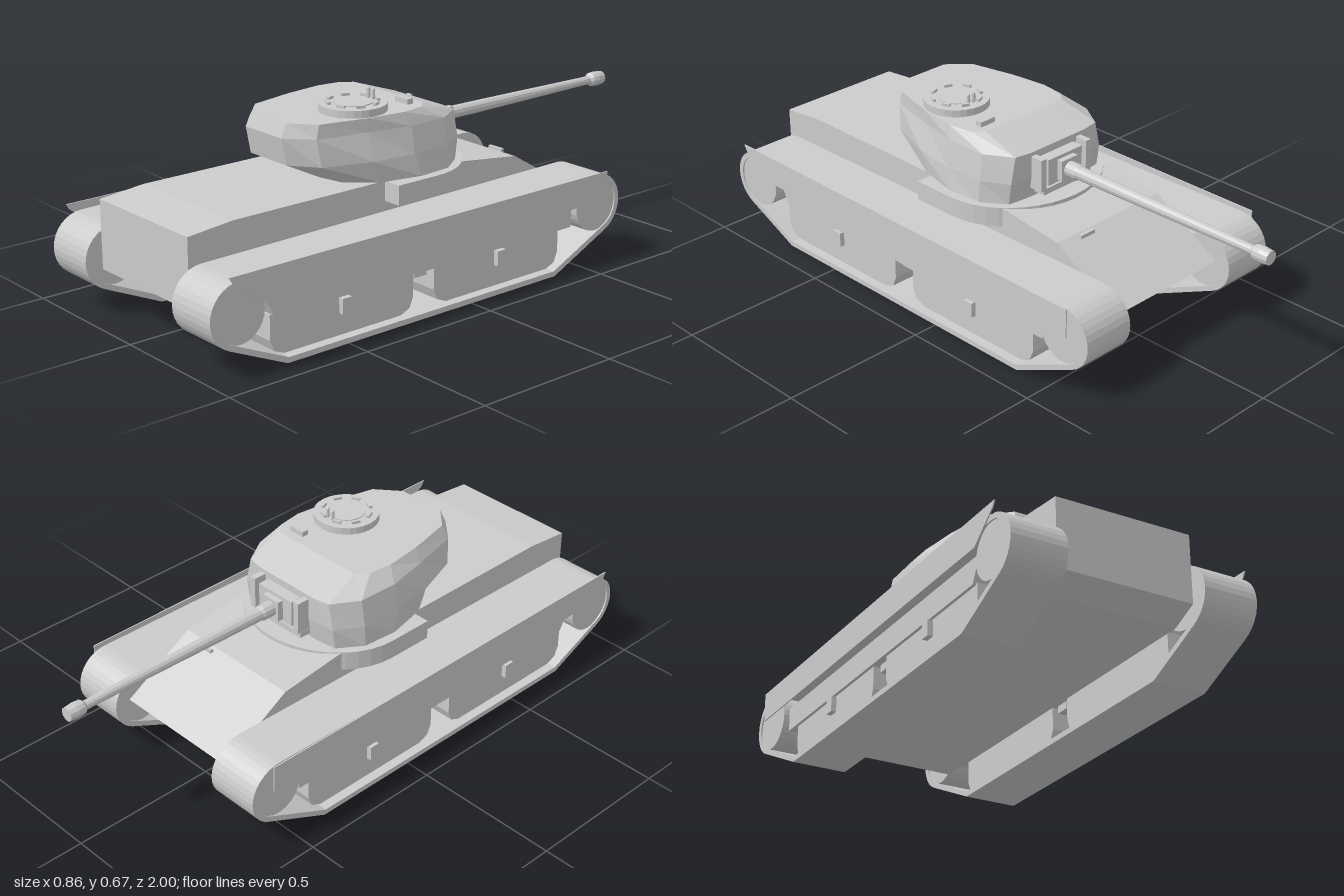
import * as THREE from 'three';

const mat = new THREE.MeshStandardMaterial({ color: 0xcccccc, flatShading: true, side: THREE.DoubleSide });
const smooth = new THREE.MeshStandardMaterial({ color: 0xcccccc });

export function createModel() {
  const model = new THREE.Group();
  const add = (name, geo, x = 0, y = 0, z = 0, material = mat) => {
    const m = new THREE.Mesh(geo, material);
    m.name = name;
    m.position.set(x, y, z);
    model.add(m);
    return m;
  };
  const box = (name, w, h, d, x, y, z) => add(name, new THREE.BoxGeometry(w, h, d), x, y, z);

  // Side profiles are [z, y] pairs, extruded across x
  const toShape = (pts) => new THREE.Shape(pts.map(([z, y]) => new THREE.Vector2(-z, y)));
  const slab = (name, pts, xa, xb, hole) => {
    const shape = toShape(pts);
    if (hole) shape.holes.push(toShape(hole));
    const geo = new THREE.ExtrudeGeometry(shape, { depth: Math.abs(xb - xa), bevelEnabled: false });
    geo.rotateY(Math.PI / 2);
    return add(name, geo, Math.min(xa, xb));
  };

  // Hull
  slab('hull', [[0.94, 0.16], [0.94, 0.385], [0.78, 0.4], [-0.11, 0.4], [-0.36, 0.37],
    [-0.61, 0.22], [-0.49, 0.12], [0.85, 0.12]], -0.23, 0.23);
  box('driverPeriscope', 0.06, 0.012, 0.012, 0.12, 0.367, -0.38);

  // Turret ring shelf: rounded front, straight back
  const ring = new THREE.Shape();
  ring.moveTo(0.295, -0.2);
  for (let i = 0; i <= 20; i++) {
    const a = Math.PI * i / 20;
    ring.lineTo(0.295 * Math.cos(a), -0.04 + 0.26 * Math.sin(a));
  }
  ring.lineTo(-0.295, -0.2);
  const ringGeo = new THREE.ExtrudeGeometry(ring, { depth: 0.065, bevelEnabled: false });
  ringGeo.rotateX(-Math.PI / 2);
  add('turretRing', ringGeo, 0, 0.335, 0);

  // Track outline: two end arcs joined by top run and flat bottom
  const trackLoop = (t) => {
    const pts = [], r = 0.105 - t;
    for (let i = 0; i <= 14; i++) {
      const a = THREE.MathUtils.degToRad(-66 + 156 * i / 14);
      pts.push([0.895 + r * Math.cos(a), 0.19 + r * Math.sin(a)]);
    }
    for (let i = 0; i <= 14; i++) {
      const a = THREE.MathUtils.degToRad(90 + 155 * i / 14);
      pts.push([-0.56 + r * Math.cos(a), 0.205 + r * Math.sin(a)]);
    }
    pts.push([-0.37 + t * 0.22, t], [0.73 - t * 0.22, t]);
    return pts;
  };

  // Bogie cover with rounded lower corners
  const bogie = (z0, z1) => [[z0, 0.15], [z0, 0.07], [z0 + 0.015, 0.035], [z0 + 0.05, 0.02],
    [z1 - 0.05, 0.02], [z1 - 0.015, 0.035], [z1, 0.07], [z1, 0.15]];

  for (const s of [1, -1]) {
    slab('track', trackLoop(0), s * 0.23, s * 0.415, trackLoop(0.018));
    for (const [z, y] of [[0.895, 0.19], [-0.56, 0.205]]) {
      const wheel = new THREE.CylinderGeometry(0.09, 0.09, 0.175, 28);
      wheel.rotateZ(Math.PI / 2);
      add('endWheel', wheel, s * 0.3225, y, z);
    }
    slab('sideSkirt', [[0.94, 0.318], [0.93, 0.3], [0.83, 0.22], [-0.59, 0.22], [-0.59, 0.318]],
      s * 0.426, s * 0.43);
    slab('suspensionBeam', [[0.8, 0.225], [0.76, 0.145], [-0.46, 0.145], [-0.46, 0.225]], s * 0.23, s * 0.395);
    slab('rearBogie', bogie(0.22, 0.77), s * 0.26, s * 0.385);
    slab('frontBogie', bogie(-0.41, 0.135), s * 0.26, s * 0.385);
    for (const z of [0.495, -0.14]) box('bogieBracket', 0.025, 0.05, 0.035, s * 0.39, 0.115, z);
    box('centreBracket', 0.1, 0.03, 0.05, s * 0.32, 0.135, 0.177);
  }

  // Turret: half outlines [x, z] from front to rear, stacked upward and mirrored
  const levels = [
    [0.4, [[0.12, -0.13], [0.2, -0.12], [0.255, -0.04], [0.265, 0.08], [0.235, 0.22], [0.16, 0.31], [0.07, 0.33]]],
    [0.472, [[0.12, -0.14], [0.2, -0.13], [0.25, -0.04], [0.255, 0.1], [0.235, 0.25], [0.18, 0.41], [0.09, 0.475]]],
    [0.56, [[0.12, -0.14], [0.18, -0.13], [0.235, -0.04], [0.24, 0.1], [0.21, 0.25], [0.17, 0.42], [0.09, 0.492]]],
    [0.605, [[0.11, 0.0], [0.16, 0.0], [0.19, 0.04], [0.2, 0.12], [0.185, 0.25], [0.15, 0.41], [0.08, 0.475]]],
  ];
  const pos = [], idx = [];
  levels.forEach(([y, half], l) => {
    const bulge = l === 3 ? 1.13 : 1; // roof is wider on the cupola side
    half.forEach(([x, z]) => pos.push(x * bulge, y, z));
    [...half].reverse().forEach(([x, z]) => pos.push(-x, y, z));
  });
  pos.push(0, 0.4, 0.1, 0, 0.605, 0.2);
  const n = 14, low = 4 * n, high = low + 1;
  for (let i = 0; i < n; i++) {
    const j = (i + 1) % n;
    for (let l = 0; l < 3; l++) {
      const a = l * n + i, b = l * n + j;
      idx.push(a, a + n, b + n, a, b + n, b);
    }
    idx.push(low, i, j, high, 3 * n + j, 3 * n + i);
  }
  const turretGeo = new THREE.BufferGeometry();
  turretGeo.setAttribute('position', new THREE.Float32BufferAttribute(pos, 3));
  turretGeo.setIndex(idx);
  turretGeo.computeVertexNormals();
  add('turret', turretGeo);

  // Mantlet with side lugs and lower lip
  box('mantlet', 0.15, 0.09, 0.05, 0.01, 0.49, -0.155);
  box('mantletCollar', 0.07, 0.07, 0.03, 0.01, 0.488, -0.185);
  for (const s of [1, -1]) box('mantletLug', 0.022, 0.11, 0.05, 0.01 + s * 0.1, 0.492, -0.16);
  box('mantletLip', 0.2, 0.02, 0.05, 0, 0.425, -0.15);

  // Gun barrel and muzzle, turned around the bore axis
  const gun = new THREE.LatheGeometry([[0, 0.14], [0.026, 0.14], [0.026, 0.24], [0.022, 0.25], [0.021, 0.4],
    [0.015, 0.9], [0.015, 0.935], [0.024, 0.945], [0.026, 0.97], [0.023, 1], [0, 1]]
    .map(([r, z]) => new THREE.Vector2(r, z)), 12);
  gun.rotateX(-Math.PI / 2);
  add('gunBarrel', gun, 0.01, 0.487, 0);

  // Cupola with vision blocks and periscope heads
  add('cupola', new THREE.CylinderGeometry(0.108, 0.108, 0.028, 28), 0.1, 0.615, 0.22);
  add('cupolaHatch', new THREE.CylinderGeometry(0.062, 0.062, 0.004, 24), 0.1, 0.63, 0.22);
  for (let i = 0; i < 8; i++) {
    const a = (i + 0.5) * Math.PI / 4;
    box('visionBlock', 0.028, 0.01, 0.01, 0.1 + 0.08 * Math.sin(a), 0.633, 0.22 + 0.08 * Math.cos(a)).rotation.y = a;
  }
  for (const x of [0.092, 0.115]) {
    add('periscopeHead', new THREE.CapsuleGeometry(0.006, 0.026, 4, 10), x, 0.647, 0.15, smooth);
  }
  box('roofSight', 0.06, 0.022, 0.024, 0.14, 0.611, 0.045);

  return model;
}
